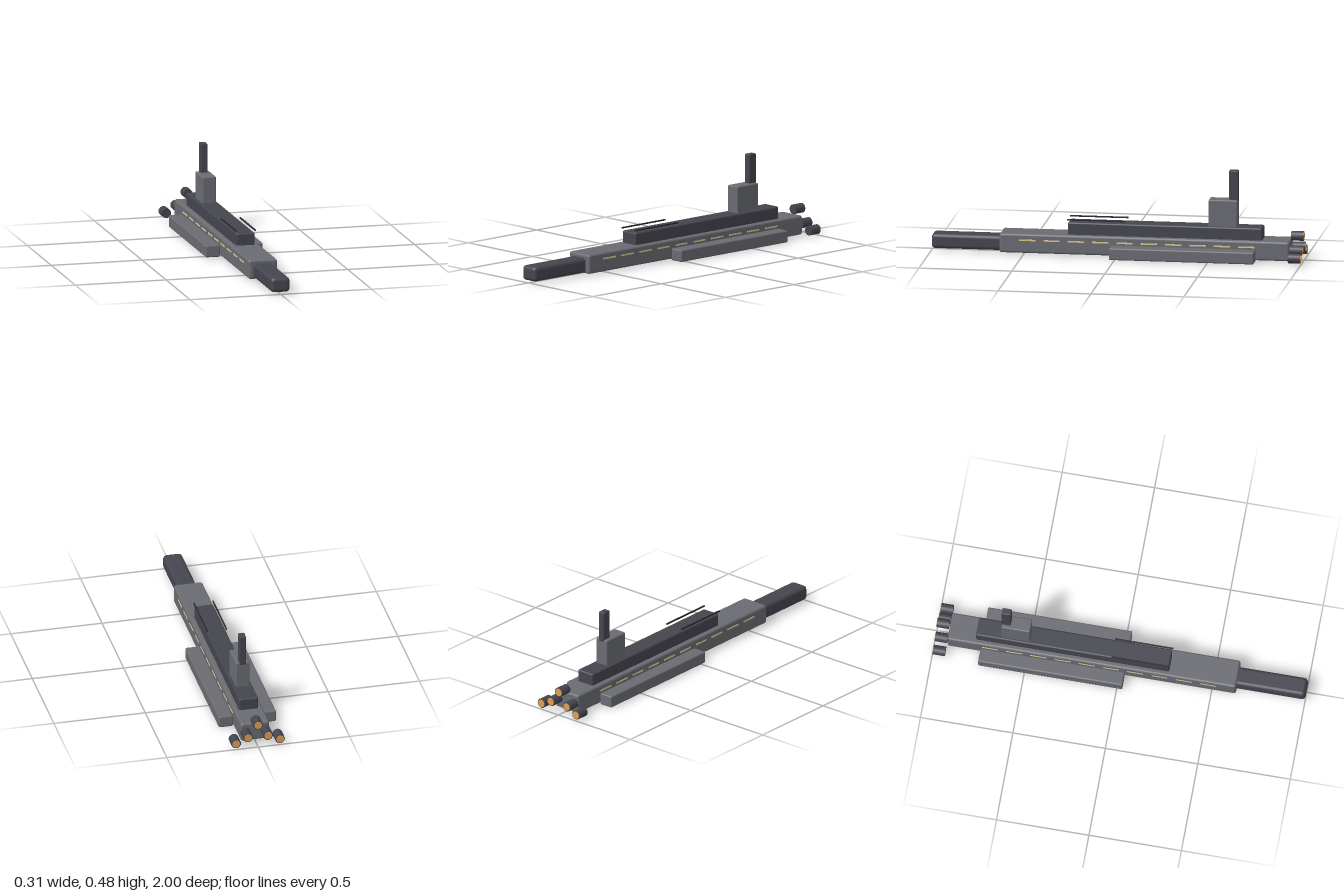
import * as THREE from 'three';
import { RoundedBoxGeometry } from 'three/addons/geometries/RoundedBoxGeometry.js';

function mat(name, color) {
  const m = new THREE.MeshStandardMaterial({ color });
  m.name = name;
  return m;
}

export function createModel() {
  const hullGrey = mat('hull grey', 0x6a6c72);
  const darkGrey = mat('dark grey', 0x45454f);
  const railBlack = mat('rail black', 0x2b2b31);
  const windowGlow = mat('window glow', 0xe0c890);
  const engineGlow = mat('engine glow', 0xe0a050);

  const model = new THREE.Group();
  model.name = 'spaceship';

  const add = (name, geometry, material, x, y, z) => {
    const mesh = new THREE.Mesh(geometry, material);
    mesh.name = name;
    mesh.position.set(x, y, z);
    model.add(mesh);
    return mesh;
  };

  // Rounded block given by its limits on each axis
  const block = (name, material, [x0, x1], [y0, y1], [z0, z1], r) =>
    add(name, new RoundedBoxGeometry(x1 - x0, y1 - y0, z1 - z0, 3, r), material,
      (x0 + x1) / 2, (y0 + y1) / 2, (z0 + z1) / 2);

  // Body
  block('hull', hullGrey, [-0.078, 0.078], [0.008, 0.112], [-0.93, 0.63], 0.012);
  block('nose', darkGrey, [-0.052, 0.052], [0.012, 0.092], [0.55, 1], 0.02);
  block('spine', darkGrey, [-0.052, 0.052], [0.09, 0.178], [-0.78, 0.265], 0.009);
  block('tower', hullGrey, [-0.038, 0.038], [0.165, 0.322], [-0.645, -0.49], 0.007);
  block('mast', darkGrey, [-0.018, 0.018], [0.31, 0.48], [-0.647, -0.597], 0.005);

  for (const s of [1, -1]) {
    // Side pods and the rails floating above the spine
    const px = [0.078, 0.157].map(v => v * s).sort((a, b) => a - b);
    block('sidePod', hullGrey, px, [0.002, 0.067], [-0.75, 0.03], 0.008);
    add('rail', new THREE.BoxGeometry(0.007, 0.007, 0.315), railBlack, s * 0.052, 0.192, 0.112);

    // Row of lit windows
    for (let i = 0; i < 10; i++) {
      add('window', new THREE.BoxGeometry(0.004, 0.008, 0.088), windowGlow,
        s * 0.078, 0.079, 0.48 - i * 0.131);
    }
  }

  // Engine cluster with glowing rear discs
  const engines = [[0, 0.133], [0.055, 0.064], [-0.055, 0.064], [0.12, 0.035], [-0.12, 0.035]];
  for (const [x, y] of engines) {
    const body = add('engine', new THREE.CylinderGeometry(0.026, 0.026, 0.066, 20), darkGrey, x, y, -0.965);
    body.rotation.x = Math.PI / 2;
    const disc = add('engineGlow', new THREE.CylinderGeometry(0.021, 0.021, 0.004, 20), engineGlow, x, y, -0.998);
    disc.rotation.x = Math.PI / 2;
  }

  return model;
}
